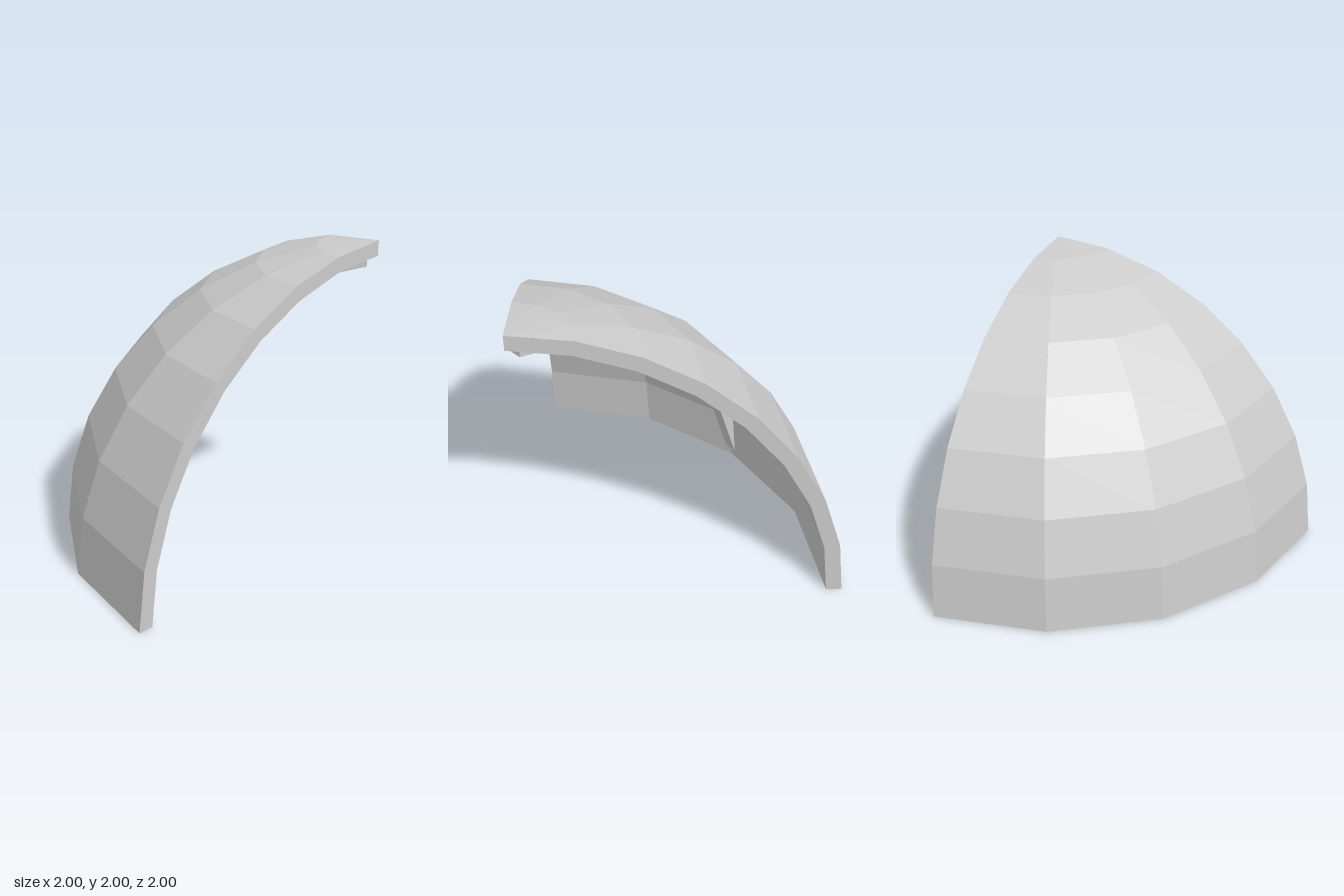
import * as THREE from 'three';

const material = new THREE.MeshStandardMaterial({ color: 0xcccccc, flatShading: true });
const capMaterial = material.clone();
capMaterial.side = THREE.DoubleSide;

// Points of a quarter circle from the base (0) to the apex (8 steps)
function quarterArc(radius, first = 0, last = 8) {
  const points = [];
  for (let i = first; i <= last; i++) {
    const a = (i / 8) * Math.PI / 2;
    points.push(new THREE.Vector2(i === 8 ? 0 : radius * Math.cos(a), radius * Math.sin(a)));
  }
  return points;
}

function addMesh(group, name, geometry, mat = material) {
  const mesh = new THREE.Mesh(geometry, mat);
  mesh.name = name;
  group.add(mesh);
  return mesh;
}

export function createModel() {
  const group = new THREE.Group();
  group.name = 'domeQuarter';

  // Everything turns around the vertical axis of the dome, at the back corner
  const dome = new THREE.Group();
  dome.name = 'domeSection';
  dome.position.set(1, 0, -1);
  group.add(dome);

  // Curved shell with thickness: outer arc up, inner arc down, base rim
  const section = [...quarterArc(2), ...quarterArc(1.9).reverse()];
  const closed = [...section, section[0].clone()];
  addMesh(dome, 'shell', new THREE.LatheGeometry(closed, 4, Math.PI * 1.5, Math.PI / 2));

  // Flat cut faces on both sides of the shell
  const capShape = new THREE.Shape(section);
  addMesh(dome, 'backCutFace', new THREE.ShapeGeometry(capShape), capMaterial).rotation.y = Math.PI;
  addMesh(dome, 'leftCutFace', new THREE.ShapeGeometry(capShape), capMaterial).rotation.y = -Math.PI / 2;

  // Rib on the inside, running down the middle of the shell
  const ribInner = [[1.88, 0.07], [1.6, 0.87], [1.124, 1.43], [0.59, 1.71], [0.07, 1.84]]
    .map(([r, y]) => new THREE.Vector2(r, y));
  const ribShape = new THREE.Shape([
    ...ribInner,
    new THREE.Vector2(0.07, 1.92),
    ...quarterArc(1.93, 1, 7).reverse(),
    new THREE.Vector2(1.92, 0.05),
  ]);
  const ribGeometry = new THREE.ExtrudeGeometry(ribShape, { depth: 0.08, bevelEnabled: false });
  ribGeometry.translate(0, 0, -0.04);
  addMesh(dome, 'innerRib', ribGeometry).rotation.y = -Math.PI * 0.75;

  return group;
}
